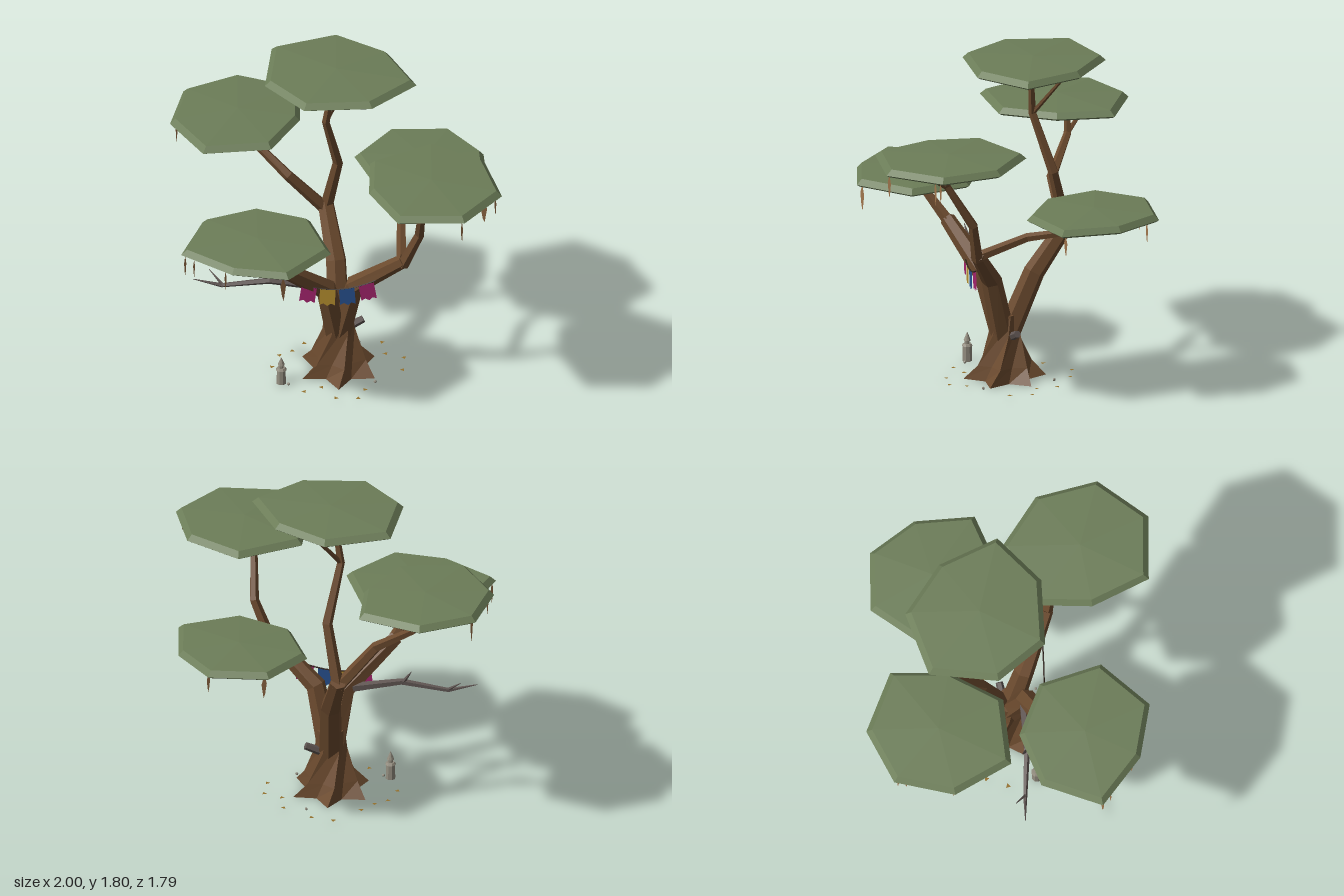
import * as THREE from 'three';

const mat = (name, color, extra = {}) => {
  const m = new THREE.MeshStandardMaterial({ color, flatShading: true, ...extra });
  m.name = name;
  return m;
};
const V = (x, y, z) => new THREE.Vector3(x, y, z);

// Skin a list of equal-sized rings (anticlockwise about the direction of travel) and cap both ends
function loft(rings, startTip, endTip) {
  const pos = [];
  const tri = (...p) => p.forEach(q => pos.push(q.x, q.y, q.z));
  const n = rings[0].length;
  const mid = r => r.reduce((s, p) => s.add(p), V(0, 0, 0)).divideScalar(n);
  const first = rings[0], last = rings[rings.length - 1];
  const a0 = startTip || mid(first), a1 = endTip || mid(last);
  for (let j = 0; j < n; j++) {
    const k = (j + 1) % n;
    for (let i = 0; i < rings.length - 1; i++) {
      const [a, b, c, d] = [rings[i][j], rings[i][k], rings[i + 1][k], rings[i + 1][j]];
      tri(a, b, c);
      tri(a, c, d);
    }
    tri(a0, first[k], first[j]);
    tri(a1, last[j], last[k]);
  }
  const g = new THREE.BufferGeometry();
  g.setAttribute('position', new THREE.Float32BufferAttribute(pos, 3));
  g.computeVertexNormals();
  return g;
}

// Faceted limb along points [x, y, z, radius]
function limb(path, sides = 6) {
  const pts = path.map(p => V(p[0], p[1], p[2]));
  const u = V(0.31, 0, 0.95);
  return loft(pts.map((p, i) => {
    const t = pts[Math.min(i + 1, pts.length - 1)].clone().sub(pts[Math.max(i - 1, 0)]).normalize();
    u.addScaledVector(t, -u.dot(t)).normalize();
    const v = t.clone().cross(u);
    return Array.from({ length: sides }, (_, j) => {
      const a = j / sides * Math.PI * 2;
      return p.clone().addScaledVector(u, Math.cos(a) * path[i][3]).addScaledVector(v, Math.sin(a) * path[i][3]);
    });
  }));
}

export function createModel() {
  const root = new THREE.Group();
  root.name = 'tree';
  const bark = mat('bark brown', 0x6b4a2e);
  const leaf = mat('canopy green', 0x6c7d58);
  const dead = mat('dead wood', 0x5f5552);
  const stone = mat('stone', 0x928c7e);
  const vine = mat('vine tan', 0xa0754c, { side: THREE.DoubleSide });
  const litter = mat('fallen leaf ochre', 0x94702c, { side: THREE.DoubleSide });
  const magenta = mat('flag magenta', 0xa3246c, { side: THREE.DoubleSide });
  const yellow = mat('flag yellow', 0xb68f2e, { side: THREE.DoubleSide });
  const blue = mat('flag blue', 0x28508f, { side: THREE.DoubleSide });
  const cord = mat('cord dark', 0x33261c);
  const add = (name, geo, m, parent = root) => {
    const mesh = new THREE.Mesh(geo, m);
    mesh.name = name;
    parent.add(mesh);
    return mesh;
  };

  // Twisted trunk flaring into six roots: [height, root radius, hollow radius, twist]
  add('trunk', loft([[0, 0.225, 0.135, 0], [0.08, 0.155, 0.11, 0.2], [0.25, 0.088, 0.072, 0.6], [0.36, 0.075, 0.065, 0.8]]
    .map(([y, r1, r2, tw]) => Array.from({ length: 12 }, (_, j) => {
      const a = j / 12 * Math.PI * 2 + tw + 0.4, r = j % 2 ? r2 : r1;
      return V(Math.sin(a) * r + 0.005, y, Math.cos(a) * r + 0.015);
    }))), bark);

  // Three main limbs
  add('frontLimb', limb([[0, 0.24, 0.03, 0.065], [-0.02, 0.56, 0.13, 0.06], [-0.2, 0.8, 0.38, 0.042]]), bark);
  add('backLimb', limb([[0, 0.24, 0, 0.065], [-0.07, 0.58, -0.13, 0.058], [-0.2, 0.84, -0.29, 0.045]]), bark);
  add('leftLimb', limb([[0.02, 0.24, 0.02, 0.065], [0.12, 0.58, 0.06, 0.055], [0.41, 0.81, 0.07, 0.038]]), bark);

  // Branches and twigs up to the canopies
  const branches = {
    frontBranch: [[-0.18, 0.77, 0.35, 0.034], [-0.25, 0.97, 0.54, 0.022], [-0.24, 1.04, 0.6, 0.016]],
    rightBranch: [[-0.19, 0.8, -0.27, 0.036], [-0.36, 1.03, -0.16, 0.03], [-0.6, 1.2, -0.19, 0.022], [-0.64, 1.37, -0.18, 0.015]],
    topBranch: [[-0.19, 0.8, -0.28, 0.036], [-0.1, 1.14, -0.23, 0.029], [-0.12, 1.46, -0.11, 0.022], [-0.07, 1.76, -0.11, 0.015]],
    leftBranch: [[0.4, 0.78, 0.07, 0.034], [0.5, 1, 0.07, 0.027], [0.57, 1.24, 0.2, 0.02], [0.62, 1.4, 0.2, 0.015]],
    backBranch: [[0.4, 0.79, 0.08, 0.03], [0.29, 0.89, -0.18, 0.025], [0.33, 0.96, -0.46, 0.019], [0.25, 1.04, -0.63, 0.014]],
    frontTwig: [[-0.24, 0.96, 0.52, 0.014], [-0.38, 1.04, 0.55, 0.009]],
    rightTwig: [[-0.6, 1.2, -0.19, 0.014], [-0.8, 1.37, -0.28, 0.008]],
    topTwig: [[-0.12, 1.46, -0.11, 0.014], [-0.02, 1.76, -0.35, 0.008]],
    leftTwig: [[0.57, 1.23, 0.2, 0.014], [0.77, 1.4, 0.36, 0.008]],
    backTwig: [[0.33, 0.95, -0.44, 0.014], [0.43, 1.04, -0.5, 0.008]],
  };
  for (const [name, path] of Object.entries(branches)) add(name, limb(path, 5), bark);

  // Seven-sided canopies: rim height, then rim corners [x, z]
  const canopies = {
    rightCanopy: [1.367, [[-0.79, -0.48], [-0.43, -0.49], [-0.31, -0.2], [-0.34, 0.13], [-0.66, 0.31], [-0.94, 0.1], [-1, -0.23]]],
    topCanopy: [1.755, [[-0.22, -0.49], [0.11, -0.43], [0.37, -0.2], [0.24, 0.11], [-0.09, 0.27], [-0.38, 0.12], [-0.49, -0.24]]],
    backCanopy: [1.035, [[0.27, -0.9], [0.53, -0.75], [0.68, -0.46], [0.44, -0.21], [0.12, -0.23], [-0.1, -0.46], [-0.03, -0.77]]],
    leftCanopy: [1.39, [[0.45, -0.21], [0.79, -0.15], [1, 0.12], [0.92, 0.45], [0.59, 0.59], [0.33, 0.37], [0.22, 0.09]]],
    frontCanopy: [1.035, [[-0.38, 0.24], [-0.07, 0.23], [0.16, 0.49], [0.05, 0.82], [-0.25, 0.89], [-0.58, 0.81], [-0.6, 0.46]]],
  };
  for (const [name, [y, rim]] of Object.entries(canopies)) {
    const cx = rim.reduce((s, p) => s + p[0], 0) / 7, cz = rim.reduce((s, p) => s + p[1], 0) / 7;
    const ring = (k, h) => rim.map(([x, z]) => V(cx + (x - cx) * k, y + h, cz + (z - cz) * k)).reverse();
    add(name, loft([ring(0.95, -0.012), ring(1, 0), ring(0.92, 0.03)], V(cx, y - 0.02, cz), V(cx, y + 0.047, cz)), leaf);
  }

  // Hanging vines: [x, top y, z, length, width, turn]
  const vines = new THREE.Group();
  vines.name = 'hangingVines';
  root.add(vines);
  [[0.92, 1.38, 0.18, 0.14, 0.035, 0.6], [0.97, 1.39, 0.14, 0.12, 0.015, 1.2], [0.9, 1.39, 0.44, 0.13, 0.02, 1.3],
    [-0.95, 1.37, -0.18, 0.15, 0.022, 1.4], [-0.97, 1.37, -0.22, 0.13, 0.015, 1.3], [-0.91, 1.37, 0.08, 0.12, 0.015, 1.2],
    [0.02, 1.03, -0.73, 0.14, 0.03, 0.8], [0.63, 1.03, -0.47, 0.12, 0.02, 1.3], [0.3, 1.03, -0.84, 0.12, 0.02, 0.9],
    [0.01, 1.03, 0.8, 0.15, 0.034, 0.9], [-0.56, 1.03, 0.8, 0.13, 0.02, 1.3], [-0.5, 1.03, 0.82, 0.11, 0.015, 1.2], [-0.3, 1.03, 0.86, 0.12, 0.015, 1.1]]
    .forEach(([x, y, z, h, w, turn]) => {
      const s = new THREE.Shape([[0, 0], [-w / 2, -h * 0.35], [-w * 0.2, -h * 0.8], [w * 0.1, -h], [w / 2, -h * 0.4]].map(p => new THREE.Vector2(...p)));
      const m = add('vine', new THREE.ShapeGeometry(s), vine, vines);
      m.position.set(x, y, z);
      m.rotation.y = turn;
    });

  // Bare dead branch and broken stub
  add('deadBranch', limb([[-0.03, 0.57, 0.12, 0.028], [-0.3, 0.615, 0.25, 0.018], [-0.54, 0.58, 0.34, 0.012], [-0.68, 0.62, 0.4, 0.002]], 5), dead);
  add('deadTwig', limb([[-0.31, 0.615, 0.25, 0.012], [-0.36, 0.69, 0.25, 0.002]], 4), dead);
  add('deadTwig', limb([[-0.53, 0.58, 0.34, 0.01], [-0.62, 0.65, 0.32, 0.002]], 4), dead);
  add('brokenStub', limb([[0.04, 0.24, -0.03, 0.024], [0.11, 0.28, -0.08, 0.02]], 6), dead);

  // Cord of pennants strung between two limbs
  const cordCurve = new THREE.QuadraticBezierCurve3(V(-0.11, 0.65, 0.265), V(0.07, 0.575, 0.205), V(0.26, 0.67, 0.11));
  add('pennantCord', new THREE.TubeGeometry(cordCurve, 8, 0.004, 4), cord);
  const pennant = new THREE.ShapeGeometry(new THREE.Shape(
    [[-0.042, 0], [-0.042, -0.1], [-0.02, -0.09], [0, -0.105], [0.02, -0.09], [0.042, -0.1], [0.042, 0]].map(p => new THREE.Vector2(...p)).reverse()));
  [magenta, yellow, blue, magenta].forEach((m, i) => {
    const t = 0.12 + i * 0.253, f = add('pennant', pennant, m), d = cordCurve.getTangent(t);
    f.position.copy(cordCurve.getPoint(t));
    f.rotation.set(0, Math.atan2(-d.z, d.x), Math.atan2(d.y, Math.hypot(d.x, d.z)) * 0.5);
  });

  // Small stone lantern: [bottom radius, top radius, height, base y]
  const lantern = new THREE.Group();
  lantern.name = 'stoneLantern';
  lantern.position.set(-0.22, 0, 0.275);
  root.add(lantern);
  [[0.027, 0.025, 0.09, 0], [0.03, 0.022, 0.012, 0.085], [0.014, 0.014, 0.02, 0.097], [0.02, 0.002, 0.045, 0.115]]
    .forEach(([r0, r1, h, y]) => add('lanternTier', new THREE.CylinderGeometry(r1, r0, h, 8).translate(0, y + h / 2, 0), stone, lantern));

  // Fallen leaves and pebbles around the roots
  let seed = 7;
  const rnd = () => (seed = (seed * 16807) % 2147483647) / 2147483647;
  for (let i = 0; i < 18; i++) {
    const a = i * 2.4, r = 0.24 + rnd() * 0.13;
    const pebble = i % 6 === 5;
    const m = add(pebble ? 'pebble' : 'fallenLeaf', pebble ? new THREE.IcosahedronGeometry(0.009, 0)
      : new THREE.CircleGeometry(0.016, 3).rotateX(-Math.PI / 2), pebble ? stone : litter);
    m.position.set(Math.sin(a) * r, 0.005, Math.cos(a) * r);
    m.rotation.y = rnd() * 6;
  }
  return root;
}
